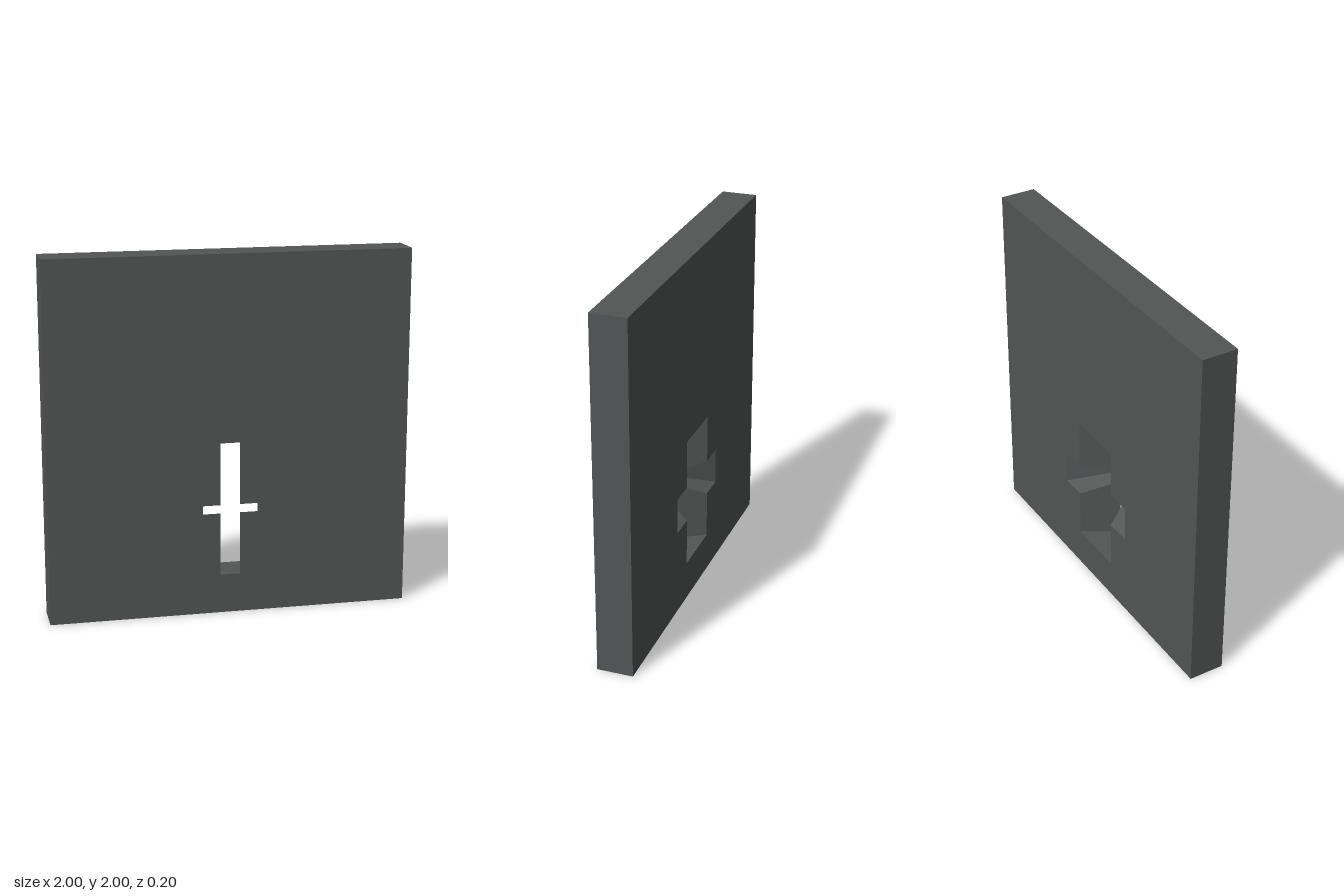
import * as THREE from 'three';
import { mergeGeometries } from 'three/addons/utils/BufferGeometryUtils.js';

const HALF_DEPTH = 0.1;

// Counter-clockwise cross outline: slit half width, arm half width, arm bottom and top
function crossLoop(slit, arm, armLow, armHigh, low = 0.22, high = 0.97) {
  return [
    [-slit, low], [slit, low], [slit, armLow], [arm, armLow], [arm, armHigh], [slit, armHigh],
    [slit, high], [-slit, high], [-slit, armHigh], [-arm, armHigh], [-arm, armLow], [-slit, armLow],
  ].map(([x, y]) => new THREE.Vector2(x, y));
}

// Flat face of the wall with a cross cut out
function cap(outline, hole) {
  const shape = new THREE.Shape(outline);
  shape.holes.push(new THREE.Path(hole));
  return new THREE.ShapeGeometry(shape).toNonIndexed().translate(0, 0, HALF_DEPTH);
}

// Band of quads joining a front loop to a back loop
function band(front, back) {
  const pos = [];
  front.forEach((f, i) => {
    const j = (i + 1) % front.length;
    const fi = [f.x, f.y, HALF_DEPTH], fj = [front[j].x, front[j].y, HALF_DEPTH];
    const bi = [back[i].x, back[i].y, -HALF_DEPTH], bj = [back[j].x, back[j].y, -HALF_DEPTH];
    pos.push(...fi, ...bi, ...bj, ...fi, ...bj, ...fj);
  });
  const geometry = new THREE.BufferGeometry();
  geometry.setAttribute('position', new THREE.Float32BufferAttribute(pos, 3));
  geometry.computeVertexNormals();
  return geometry;
}

export function createModel() {
  const model = new THREE.Group();
  model.name = 'wallWithArrowSlit';
  const stone = new THREE.MeshStandardMaterial({ color: 0x525655 });
  stone.name = 'darkStone';

  const outline = [[-1, 0], [1, 0], [1, 2], [-1, 2]].map(([x, y]) => new THREE.Vector2(x, y));
  const frontCross = crossLoop(0.055, 0.152, 0.574, 0.621);
  const backCross = crossLoop(0.17, 0.32, 0.49, 0.695);

  // Wall slab: front, back and outer edges
  const frontCap = cap(outline, frontCross);
  const backCap = cap(outline, backCross).rotateY(Math.PI);
  [frontCap, backCap].forEach((g) => g.deleteAttribute('uv'));
  const wall = new THREE.Mesh(mergeGeometries([frontCap, backCap, band(outline, outline)]), stone);
  wall.name = 'wall';

  // Splayed sides of the slit, widening toward the back
  const splay = new THREE.Mesh(band([...frontCross].reverse(), [...backCross].reverse()), stone);
  splay.name = 'arrowSlitSplay';

  model.add(wall, splay);
  return model;
}
